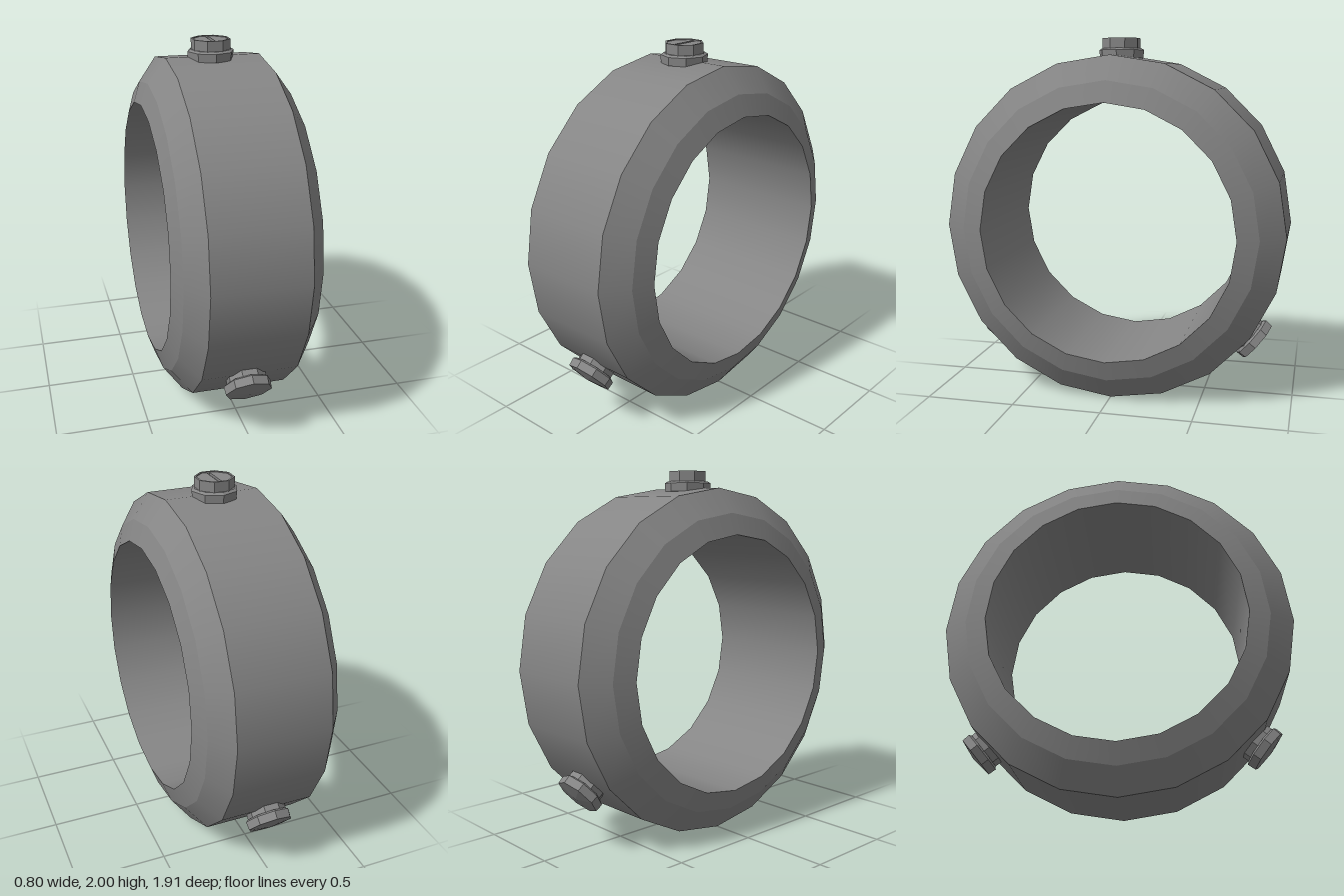
import * as THREE from 'three';

const SIDES = 20, CENTER_Y = 0.953, OUTER = 0.953, BORE = 0.705;
const BOLT_X = -0.0125;
const smooth = new THREE.MeshStandardMaterial({ color: 0x868686 });
const flat = new THREE.MeshStandardMaterial({ color: 0x868686, flatShading: true });

function lathe(name, profile, sides, material) {
  const points = profile.map(([r, y]) => new THREE.Vector2(r, y));
  const mesh = new THREE.Mesh(new THREE.LatheGeometry(points, sides), material);
  mesh.name = name;
  return mesh;
}

// Collar: separate bands keep the rim edges sharp while the surfaces stay smooth
function createCollar() {
  const collar = new THREE.Group();
  collar.name = 'collar';
  collar.add(
    lathe('outerBand', [[OUTER, -0.26], [OUTER, 0.26]], SIDES, smooth),
    lathe('leftShoulder', [[0.82, -0.36], [OUTER, -0.26]], SIDES, smooth),
    lathe('leftFace', [[BORE, -0.4], [0.82, -0.36]], SIDES, smooth),
    lathe('rightShoulder', [[OUTER, 0.26], [0.82, 0.36]], SIDES, smooth),
    lathe('rightFace', [[0.82, 0.36], [BORE, 0.4]], SIDES, smooth),
    lathe('bore', [[BORE, 0.4], [BORE, -0.4]], SIDES, smooth)
  );
  collar.rotation.z = Math.PI / 2;
  collar.position.y = CENTER_Y;
  return collar;
}

// Half of an octagonal cap, leaving a gap for the screwdriver slot
function capHalf(radius, gap, height) {
  const apothem = radius * Math.cos(Math.PI / 8);
  const shape = new THREE.Shape();
  shape.moveTo(gap, -apothem);
  for (let k = -2; k <= 1; k++) {
    const a = (k + 0.5) * Math.PI / 4;
    shape.lineTo(radius * Math.cos(a), radius * Math.sin(a));
  }
  shape.lineTo(gap, apothem);
  const geometry = new THREE.ExtrudeGeometry(shape, { depth: height, bevelEnabled: false });
  return geometry.rotateX(-Math.PI / 2);
}

// Bolt: flange with a shallow conical underside, rimmed eight-sided head, slotted cap
function createBolt(name) {
  const bolt = new THREE.Group();
  bolt.name = name;
  const flange = lathe('flange',
    [[0, -0.025], [0.125, -0.01], [0.128, 0.035], [0.112, 0.045], [0, 0.045]], 8, flat);
  const head = lathe('head',
    [[0.107, 0.04], [0.107, 0.1], [0.096, 0.1], [0.096, 0.082], [0, 0.082]], 8, flat);
  head.rotation.y = Math.PI / 8;
  bolt.add(flange, head);
  for (const turn of [0, Math.PI]) {
    const cap = new THREE.Mesh(capHalf(0.096, 0.009, 0.013), flat);
    cap.name = 'slottedCap';
    cap.position.y = 0.082;
    cap.rotation.y = turn;
    bolt.add(cap);
  }
  return bolt;
}

export function createModel() {
  const model = new THREE.Group();
  model.name = 'clampCollar';
  model.add(createCollar());

  // Top bolt, head outward
  const top = createBolt('topBolt');
  top.position.set(BOLT_X, 1.9, 0);
  model.add(top);

  // Lower bolts, heads set into the collar
  const tilt = THREE.MathUtils.degToRad(39.5), reach = 1.02;
  for (const [name, side] of [['frontBolt', 1], ['backBolt', -1]]) {
    const bolt = createBolt(name);
    bolt.position.set(BOLT_X, CENTER_Y - reach * Math.sin(tilt), side * reach * Math.cos(tilt));
    bolt.rotation.x = Math.atan2(-side * Math.cos(tilt), Math.sin(tilt));
    model.add(bolt);
  }
  return model;
}
